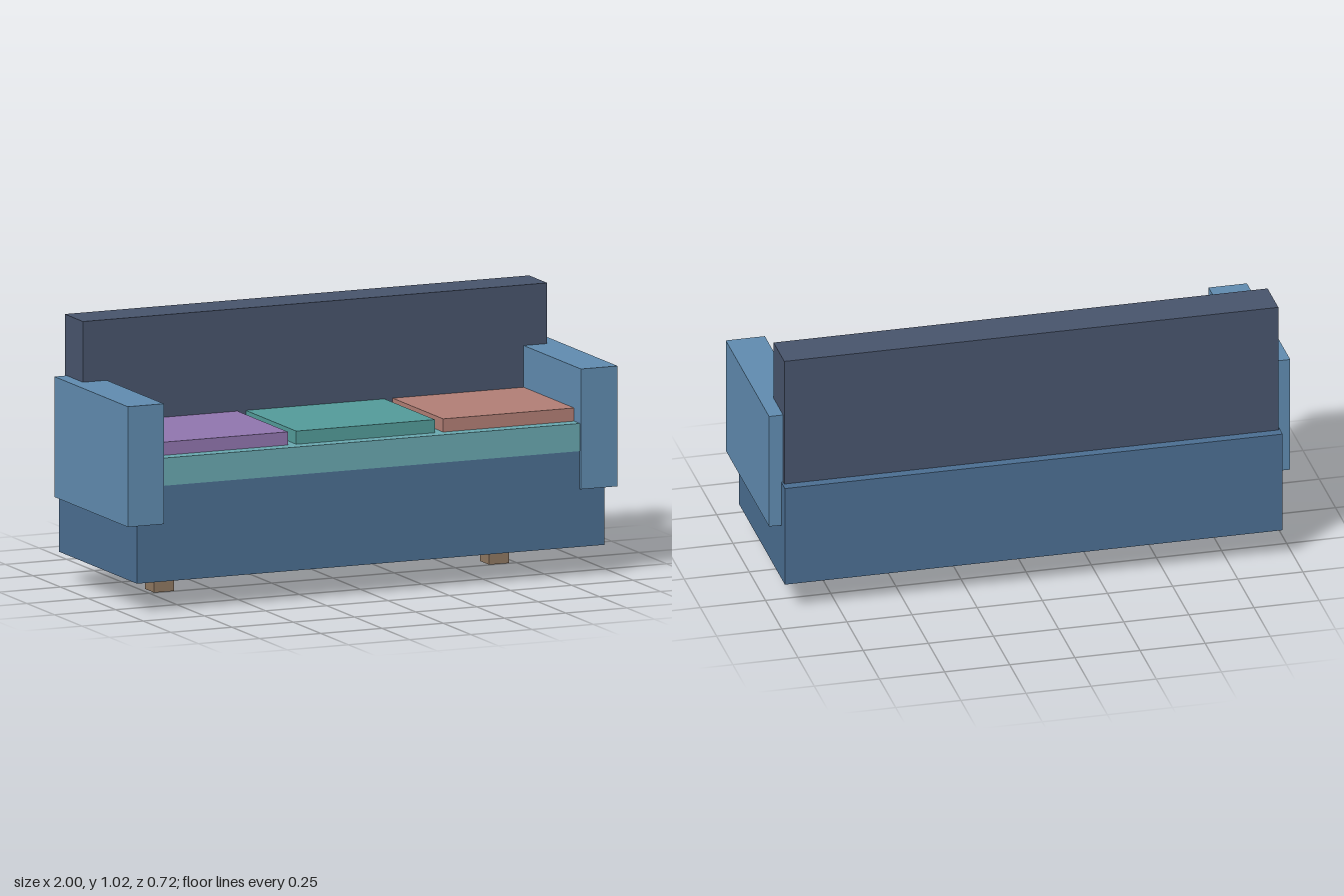
import * as THREE from 'three';

// Box given by its extents on each axis
function box(name, color, [x0, x1], [y0, y1], [z0, z1]) {
  const mesh = new THREE.Mesh(
    new THREE.BoxGeometry(x1 - x0, y1 - y0, z1 - z0),
    new THREE.MeshStandardMaterial({ color, flatShading: true })
  );
  mesh.position.set((x0 + x1) / 2, (y0 + y1) / 2, (z0 + z1) / 2);
  mesh.name = name;
  return mesh;
}

export function createModel() {
  const sofa = new THREE.Group();
  sofa.name = 'sofa';

  // Base, seat slab and backrest
  sofa.add(
    box('base', 0x4a6d90, [-0.957, 0.953], [0.112, 0.51], [-0.36, 0.348]),
    box('seat', 0x68a6ae, [-0.9, 0.9], [0.475, 0.58], [-0.2, 0.351]),
    box('backrest', 0x47536b, [-0.95, 0.946], [0.48, 1.018], [-0.322, -0.157])
  );

  // Three loose cushions, the outer two tucked against the armrests
  const cushions = [
    ['rightCushion', 0x8f74ad, -0.602],
    ['middleCushion', 0x529a98, -0.002],
    ['leftCushion', 0xb07d74, 0.598],
  ];
  for (const [name, color, x] of cushions) {
    sofa.add(box(name, color, [x - 0.283, x + 0.283], [0.56, 0.63], [-0.165, 0.3]));
  }

  // Armrests
  sofa.add(
    box('leftArmrest', 0x5f8aae, [0.85, 1], [0.332, 0.788], [-0.305, 0.361]),
    box('rightArmrest', 0x5f8aae, [-1, -0.853], [0.332, 0.788], [-0.305, 0.361])
  );

  // Two short feet
  sofa.add(
    box('leftFoot', 0x8d7660, [0.64, 0.722], [0, 0.12], [-0.089, -0.005]),
    box('rightFoot', 0x8d7660, [-0.728, -0.647], [0, 0.12], [-0.089, -0.005])
  );

  return sofa;
}
